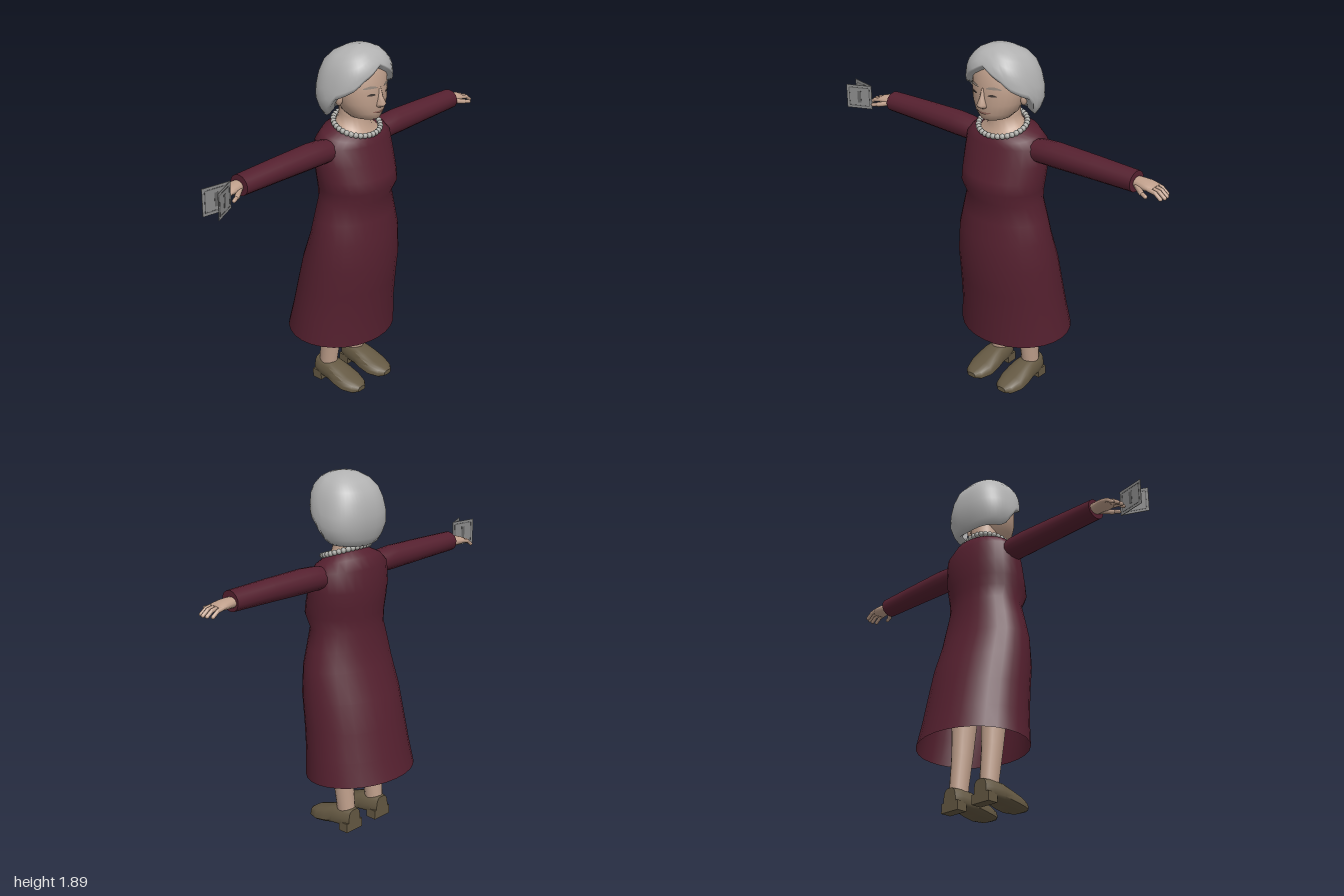
import * as THREE from 'three';
import { toCreasedNormals } from 'three/addons/utils/BufferGeometryUtils.js';

const CX = 0.042; // centre line of the figure
const V = (x, y, z) => new THREE.Vector3(x, y, z);
const mix = THREE.MathUtils.lerp;
const spow = (v, e) => Math.sign(v) * Math.abs(v) ** e;

const paint = (name, color, side = THREE.FrontSide) => {
  const m = new THREE.MeshStandardMaterial({ color, side });
  m.name = name;
  return m;
};

// Skin over a list of closed rings, each counterclockwise about the direction of travel
function loft(rings, capStart = true, capEnd = true) {
  const n = rings[0].length, pos = [], idx = [];
  rings.forEach(r => r.forEach(p => pos.push(p.x, p.y, p.z)));
  for (let i = 0; i < rings.length - 1; i++)
    for (let j = 0; j < n; j++) {
      const a = i * n + j, b = i * n + (j + 1) % n;
      idx.push(a, b, a + n, b, b + n, a + n);
    }
  const cap = (r, flip) => {
    const c = r.reduce((s, p) => s.add(p), V(0, 0, 0)).divideScalar(n);
    const base = pos.length / 3;
    [...r, c].forEach(p => pos.push(p.x, p.y, p.z));
    for (let j = 0; j < n; j++) {
      const a = base + j, b = base + (j + 1) % n;
      idx.push(...(flip ? [b, a] : [a, b]), base + n);
    }
  };
  if (capStart) cap(rings[0], true);
  if (capEnd) cap(rings[rings.length - 1], false);
  const g = new THREE.BufferGeometry();
  g.setAttribute('position', new THREE.Float32BufferAttribute(pos, 3));
  g.setIndex(idx);
  g.computeVertexNormals();
  return g;
}
const ring = (n, f) => Array.from({ length: n }, (_, i) => f(i / n * Math.PI * 2));

// Upright body ring: front height, back height, half width, front z, back z
const bodyRings = (rows, n, cx = CX) => rows.map(([yf, yb, w, zf, zb]) => ring(n, a =>
  V(cx + w * Math.sin(a), mix(yb, yf, (Math.cos(a) + 1) / 2), (zf + zb) / 2 + (zf - zb) / 2 * Math.cos(a))));

// Rows: height, half width, front z, back z
const HEAD = [
  [1.525, 0.03, 0.2, 0.09], [1.537, 0.07, 0.222, 0.05], [1.57, 0.105, 0.232, 0.02], [1.62, 0.128, 0.238, 0],
  [1.68, 0.14, 0.237, -0.03], [1.76, 0.14, 0.232, -0.04], [1.82, 0.11, 0.2, -0.02], [1.85, 0.04, 0.14, 0.04]];
const HAIR = [
  [1.53, 0.145, 0.18, -0.055], [1.56, 0.165, 0.19, -0.07], [1.6, 0.19, 0.2, -0.085], [1.65, 0.198, 0.22, -0.095],
  [1.72, 0.187, 0.24, -0.092], [1.78, 0.17, 0.243, -0.078], [1.82, 0.15, 0.232, -0.055], [1.86, 0.11, 0.2, -0.01],
  [1.88, 0.065, 0.16, 0.04], [1.89, 0, 0.1, 0.1]];
const HAIRLINE = [[0, 1.808], [15, 1.775], [30, 1.745], [45, 1.7], [60, 1.675], [78, 1.65], [88, 1.57], [100, 1.545], [180, 1.53]];

function lookup(rows, t) {
  let i = 0;
  while (i < rows.length - 2 && t > rows[i + 1][0]) i++;
  const k = THREE.MathUtils.clamp((t - rows[i][0]) / (rows[i + 1][0] - rows[i][0]), 0, 1);
  return rows[i].map((v, c) => mix(v, rows[i + 1][c], k));
}
function faceZ(x, y) {
  const [, w, zf, zb] = lookup(HEAD, y);
  return (zf + zb) / 2 + (zf - zb) / 2 * Math.sqrt(Math.max(0, 1 - (x / w) ** 2));
}

export function createModel() {
  const model = new THREE.Group();
  const skin = paint('skin', 0xbf9f8b), cloth = paint('dress maroon', 0x55202f, THREE.DoubleSide);
  const grey = paint('hair grey', 0xb2b2b2, THREE.DoubleSide), leather = paint('shoe brown', 0x645842);
  const pearl = paint('pearl', 0xa9a9a4), paper = paint('paper grey', 0x8a8a8a, THREE.DoubleSide);
  const ink = paint('ink grey', 0x636363), brow = paint('brow grey', 0x96887d);
  const dark = paint('eye dark', 0x403733), lip = paint('lip', 0x95695d);
  const add = (name, geo, mat, parent = model) => {
    const m = new THREE.Mesh(geo, mat);
    m.name = name;
    parent.add(m);
    return m;
  };

  // Dress, open at the hem and neckline
  add('dress', loft(bodyRings([
    [0.3, 0.33, 0.312, 0.245, -0.275], [0.45, 0.45, 0.298, 0.246, -0.243], [0.6, 0.6, 0.287, 0.26, -0.21],
    [0.75, 0.75, 0.281, 0.275, -0.172], [0.9, 0.9, 0.264, 0.266, -0.118], [1, 1, 0.241, 0.25, -0.1],
    [1.1, 1.1, 0.214, 0.24, -0.085], [1.17, 1.17, 0.226, 0.275, -0.088], [1.23, 1.23, 0.232, 0.26, -0.094],
    [1.31, 1.31, 0.236, 0.233, -0.099], [1.395, 1.42, 0.23, 0.207, -0.09], [1.42, 1.475, 0.19, 0.197, -0.062],
    [1.435, 1.508, 0.125, 0.188, -0.015]], 28, 0.046), false, false), cloth);

  // Neck, head and nose
  add('neck', loft(bodyRings([[1.42, 1.49, 0.13, 0.19, -0.015], [1.46, 1.52, 0.09, 0.158, -0.01],
    [1.52, 1.545, 0.076, 0.145, -0.008], [1.62, 1.62, 0.074, 0.14, -0.005]], 20)), skin);
  add('head', loft(bodyRings(HEAD.map(r => [r[0], ...r]), 28)), skin);
  add('nose', loft(bodyRings([[1.598, 1.598, 0.014, 0.243, 0.2], [1.607, 1.607, 0.026, 0.26, 0.2],
    [1.62, 1.62, 0.024, 0.272, 0.2], [1.65, 1.65, 0.014, 0.255, 0.2], [1.7, 1.7, 0.01, 0.238, 0.2]], 10)), skin);

  // Painted face details that follow the curve of the face
  const facePatch = (name, x, y, w, h, bend, mat) => {
    const g = new THREE.PlaneGeometry(w, h, 8, 1), p = g.attributes.position;
    for (let i = 0; i < p.count; i++) {
      const u = p.getX(i) / (w / 2), px = x + p.getX(i);
      const py = y + p.getY(i) * (1 - 0.75 * u * u) + bend * u * u;
      p.setXYZ(i, CX + px, py, faceZ(px, py) + 0.004);
    }
    g.computeVertexNormals();
    add(name, g, mat);
  };
  for (const s of [1, -1]) {
    facePatch('eyebrow', s * 0.058, 1.708, 0.07, 0.014, -0.006, brow);
    facePatch('eye', s * 0.055, 1.671, 0.042, 0.012, -0.003, dark);
    const ear = add('ear', new THREE.SphereGeometry(1, 12, 8), skin);
    ear.scale.set(0.016, 0.034, 0.022);
    ear.position.set(CX + s * 0.136, 1.64, 0.09);
  }
  facePatch('mouth', 0, 1.574, 0.085, 0.012, 0.006, lip);

  // Bobbed hair: crown to hairline, with a rim turned inwards
  const steps = [0, 0.1, 0.25, 0.42, 0.6, 0.76, 0.88, 0.96, 1];
  const hairPoint = (a, v) => {
    const deg = Math.abs(a > Math.PI ? a - 2 * Math.PI : a) * 180 / Math.PI;
    const y = mix(lookup(HAIRLINE, deg)[1], 1.89, v), [, w, zf, zb] = lookup(HAIR, y);
    return V(CX + w * spow(Math.sin(a), 0.82), y, (zf + zb) / 2 + (zf - zb) / 2 * spow(Math.cos(a), 0.82));
  };
  const rim = ring(48, a => hairPoint(a, 0).lerp(V(CX, 1.66, 0.07), 0.2));
  add('hair', loft([rim, ...steps.map(v => ring(48, a => hairPoint(a, v)))], false, false), grey);

  // Bead necklace, sloping down to the front
  const necklace = new THREE.Group();
  necklace.name = 'necklace';
  model.add(necklace);
  const bead = new THREE.SphereGeometry(0.0145, 10, 8);
  ring(32, a => add('bead', bead, pearl, necklace)
    .position.set(CX + 0.13 * Math.sin(a), 1.483 - 0.037 * Math.cos(a), 0.088 + 0.106 * Math.cos(a)));

  const limb = (name, a, b, r, parent) => {
    const d = b.clone().sub(a), m = add(name, new THREE.CapsuleGeometry(r, d.length(), 4, 8), skin, parent);
    m.position.copy(a).lerp(b, 0.5);
    m.quaternion.setFromUnitVectors(V(0, 1, 0), d.normalize());
  };

  for (const s of [1, -1]) {
    const side = s > 0 ? 'left' : 'right';
    // Rows along the arm: distance out, centre y, half height, half depth
    const armRings = (rows, cz) => rows.map(([t, cy, ry, rz]) => ring(14, a =>
      V(CX + s * t, cy + ry * Math.cos(a), cz + s * rz * Math.sin(a))));
    add(side + 'Sleeve', toCreasedNormals(loft(armRings([[0.14, 1.375, 0.055, 0.06], [0.24, 1.387, 0.06, 0.067],
      [0.32, 1.39, 0.063, 0.066], [0.55, 1.391, 0.058, 0.061], [0.785, 1.39, 0.052, 0.057]], 0.065)), 0.8), cloth);

    // Hand with four fingers and a thumb
    const hand = new THREE.Group();
    hand.name = side + 'Hand';
    model.add(hand);
    add('palm', loft(armRings([[0.76, 1.386, 0.026, 0.033], [0.8, 1.387, 0.026, 0.038], [0.84, 1.386, 0.024, 0.046],
      [0.87, 1.384, 0.018, 0.047], [0.885, 1.382, 0.01, 0.042]], 0.057)), skin, hand);
    [0.02, 0.045, 0.07, 0.093].forEach((z, i) => {
      const reach = [-0.014, 0, 0.004, -0.004][i], at = (t, y) => V(CX + s * t, y, z);
      const knuckle = at(0.91 + reach, 1.377);
      limb('finger', at(0.865, 1.384), knuckle, 0.0105, hand);
      limb('fingertip', knuckle, at(0.94 + reach, 1.355), 0.0095, hand);
    });
    limb('thumb', V(CX + s * 0.8, 1.378, 0.085), V(CX + s * 0.85, 1.37, 0.12), 0.013, hand);
    limb('thumbTip', V(CX + s * 0.85, 1.37, 0.12), V(CX + s * 0.88, 1.365, 0.132), 0.01, hand);

    // Leg
    const x = s > 0 ? 0.15 : -0.064;
    add(side + 'Leg', loft([[0.06, 0.044, 0.04, -0.06], [0.13, 0.047, 0.042, -0.059], [0.3, 0.053, 0.07, -0.045],
      [0.5, 0.066, 0.095, -0.04], [0.8, 0.085, 0.13, -0.03]].map(([y, w, zf, zb]) =>
      bodyRings([[y, y, w, zf, zb]], 16, x)[0])), skin);

    // Shoe: rows of z, half width, underside, top
    const shoeRings = [[-0.073, 0.042, 0.025, 0.12], [-0.03, 0.058, 0.025, 0.122], [0.04, 0.064, 0.02, 0.116],
      [0.09, 0.072, 0.011, 0.096], [0.15, 0.073, 0.003, 0.073], [0.205, 0.055, 0.004, 0.055], [0.23, 0.026, 0.012, 0.038]]
      .map(([z, w, y0, y1]) => ring(14, a => V(x + w * spow(Math.cos(a), 0.6) * (1 - 0.18 * Math.sin(a)),
        (y0 + y1) / 2 + (y1 - y0) / 2 * spow(Math.sin(a), 0.6), z)));
    add(side + 'Shoe', toCreasedNormals(loft(shoeRings), 0.7), leather);
    add(side + 'Heel', new THREE.BoxGeometry(0.115, 0.05, 0.06), leather).position.set(x, 0.025, -0.043);
  }

  // Small open booklet in the right hand, leaves hinged at one spine
  const leaf = (name, dx, dz, h) => {
    const g = new THREE.Group(), len = Math.hypot(dx, dz);
    g.name = name;
    g.position.set(-0.852, 1.398, 0.125);
    g.rotation.y = Math.atan2(-dz, dx);
    model.add(g);
    const plate = (part, w, hh, thick, cx, cy, mat) =>
      add(part, new THREE.BoxGeometry(w, hh, thick), mat, g).position.set(cx, cy, 0);
    plate('page', len, h, 0.003, len / 2, 0, paper);
    for (const e of [1, -1]) {
      plate('frameLine', len * 0.8, 0.005, 0.005, len / 2, e * h * 0.39, ink);
      plate('frameLine', 0.005, h * 0.78, 0.005, len / 2 + e * len * 0.4, 0, ink);
    }
    plate('centreMark', 0.02, h * 0.5, 0.005, len / 2, 0, ink);
  };
  leaf('backLeaf', -0.147, -0.025, 0.135);
  leaf('frontLeaf', -0.128, 0.06, 0.13);

  return model;
}
